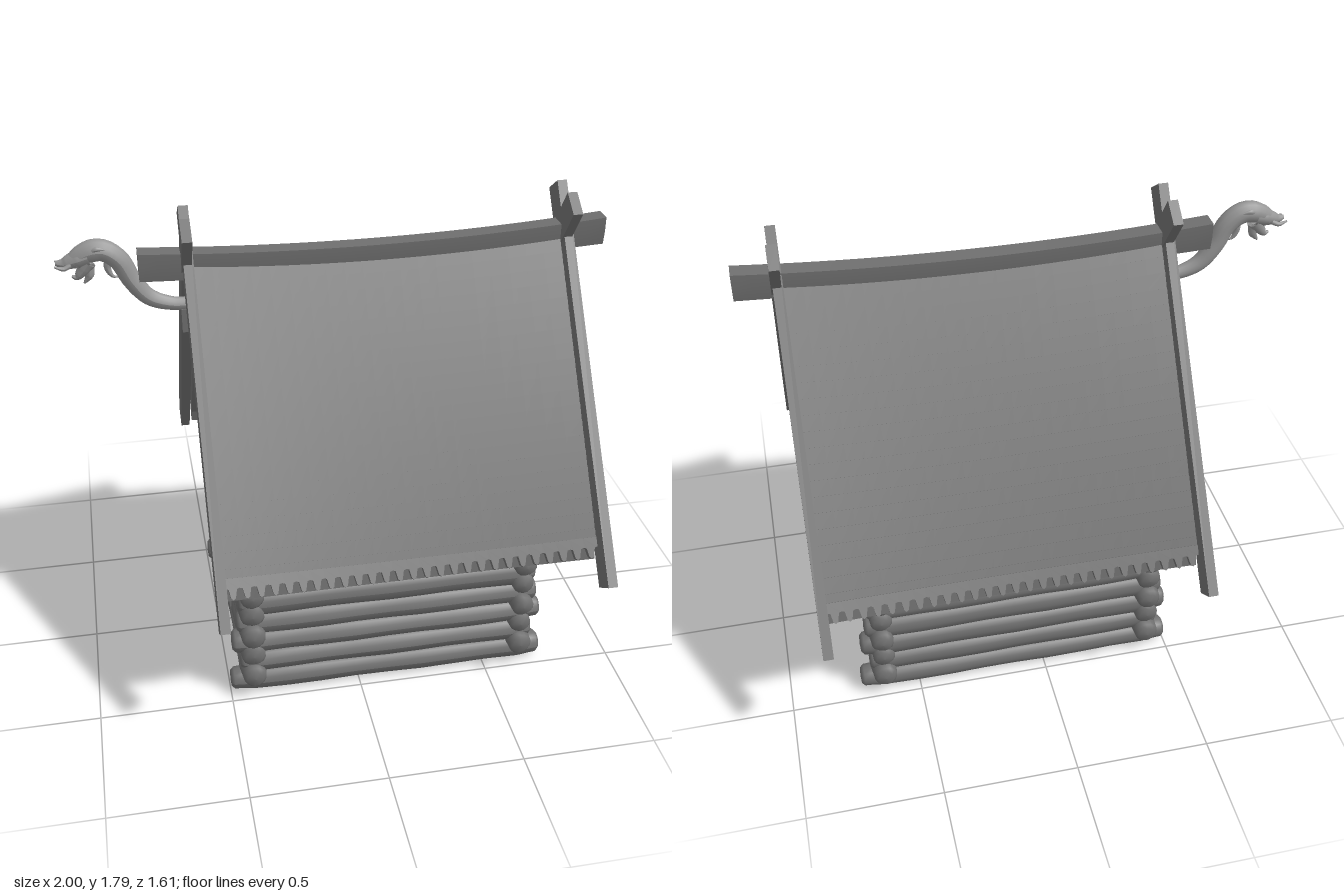
import * as THREE from 'three';

const MID = 0.155; // x of the house's middle
const HALF = 0.675; // half length of the roof
const wood = new THREE.MeshStandardMaterial({ color: 0x6f6f6f, side: THREE.DoubleSide });
const paleWood = new THREE.MeshStandardMaterial({ color: 0x959595, side: THREE.DoubleSide });

function add(parent, name, geometry, x = 0, y = 0, z = 0, material = wood) {
  const mesh = new THREE.Mesh(geometry, material);
  mesh.name = name;
  mesh.position.set(x, y, z);
  parent.add(mesh);
  return mesh;
}

// Moves every vertex by a rule
function warp(geometry, rule) {
  const p = geometry.attributes.position;
  const v = new THREE.Vector3();
  for (let i = 0; i < p.count; i++) {
    rule(v.fromBufferAttribute(p, i), i);
    p.setXYZ(i, v.x, v.y, v.z);
  }
  geometry.computeVertexNormals();
  return geometry;
}

const sag = (x) => Math.max(0, 1 - ((x - MID) / HALF) ** 2);

// Maps (x, -distance down the slope, height above it) onto the roof, which sags if bent
function onRoof(v, bend = true) {
  const s = -v.y, k = bend ? sag(v.x) : 0;
  const h = v.z + (bend ? 0.02 * (1 - s / 1.2) : 0);
  v.y = 1.62 - s * 0.814 + h * 0.581 - 0.03 * k;
  v.z = s * 0.581 + h * 0.814 - 0.03 * k * Math.max(0, s);
}

function roofBox(parent, name, x, s0, s1, h, width, thick, bend = true, tilt = 0) {
  const g = new THREE.BoxGeometry(width, s1 - s0, thick, bend ? 20 : 1, 1, 1);
  g.rotateX(tilt);
  g.translate(x, -(s0 + s1) / 2, h);
  return add(parent, name, warp(g, (v) => onRoof(v, bend)));
}

// Slightly uneven round log, narrower at its ends, lying along x or z from a to b
let seed = 0;
function log(parent, name, axis, a, b, r, y, across) {
  const n = ++seed, len = b - a, e = r * 0.88;
  const pts = [[0, 0], [e * 0.7, 0.003], [e * 0.96, 0.015], [e, 0.04]];
  for (let i = 0; i < 9; i++) pts.push([r, 0.09 + (len - 0.18) * i / 8]);
  pts.push([e, len - 0.04], [e * 0.96, len - 0.015], [e * 0.7, len - 0.003], [0, len]);
  const g = new THREE.LatheGeometry(pts.map((p) => new THREE.Vector2(...p)), 14);
  warp(g, (v) => {
    const f = 1 + 0.04 * Math.sin(v.y * 13 + n * 2.1) + 0.03 * Math.sin(3 * Math.atan2(v.z, v.x) + n);
    v.x *= f;
    v.z *= f;
  });
  const m = add(parent, name, g);
  if (axis === 'x') { m.rotation.z = -Math.PI / 2; m.position.set(a, y, across); }
  else { m.rotation.x = Math.PI / 2; m.position.set(across, y, a); }
}

function buildWalls(root) {
  const walls = new THREE.Group();
  walls.name = 'logWalls';
  root.add(walls);
  // Long walls
  const halfLengths = [0.615, 0.575, 0.605, 0.585, 0.575, 0.605, 0.58];
  for (const z of [-0.43, 0.43]) {
    halfLengths.forEach((e, i) => {
      log(walls, 'longWallLog', 'x', MID - 0.04 - e, MID - 0.04 + e, 0.052, 0.053 + i * 0.0905, z);
    });
  }
  // End walls, the left one split by the doorway above its lowest log
  for (let i = 0; i < 6; i++) {
    const y = 0.103 + i * 0.0935, e = i % 2 ? 0.5 : 0.515;
    log(walls, 'endWallLog', 'z', -e, e, 0.051, y, 0.635);
    if (i === 0) {
      log(walls, 'doorWallLog', 'z', -e, e, 0.051, y, -0.41);
    } else {
      log(walls, 'doorWallLog', 'z', -e, -0.14, 0.051, y, -0.41);
      log(walls, 'doorWallLog', 'z', 0.09, e, 0.051, y, -0.41);
    }
  }
  for (const x of [-0.41, 0.635]) {
    add(walls, 'tieBeam', new THREE.BoxGeometry(0.075, 0.05, 0.98), x, 0.645, 0);
  }
  // Recessed door
  for (let i = 0; i < 3; i++) {
    add(walls, 'doorPlank', new THREE.BoxGeometry(0.02, 0.48, 0.07), -0.39, 0.385, -0.1 + i * 0.073);
  }
  for (const z of [-0.145, 0.095]) {
    add(walls, 'doorPost', new THREE.BoxGeometry(0.1, 0.48, 0.025), -0.41, 0.385, z);
  }
}

function buildGables(root) {
  const top = (z) => Math.min(1.44, 1.53 - 1.42 * Math.abs(z));
  const cuts = [-0.4, -0.27, -0.16, -0.045, 0.05, 0.16, 0.28, 0.4];
  for (const x of [-0.41, 0.62]) {
    // Upright planks cut to the slope
    for (let i = 0; i < cuts.length - 1; i++) {
      const a = cuts[i], b = cuts[i + 1] - 0.003;
      const shape = new THREE.Shape([[a, 0.63], [b, 0.63], [b, top(b)], [a, top(a)]].map((p) => new THREE.Vector2(...p)));
      const g = new THREE.ExtrudeGeometry(shape, { depth: 0.024, bevelEnabled: false });
      g.translate(0, 0, -0.012);
      g.rotateY(Math.PI / 2);
      add(root, 'gablePlank', g, x);
    }
    const out = x > 0 ? 0.02 : -0.02;
    for (const z of [-0.4, 0.42]) {
      add(root, 'cornerPost', new THREE.CylinderGeometry(0.025, 0.028, 0.32, 10), x + out, 0.765, z);
    }
  }
  // Low plank walls under the eaves
  for (const z of [-0.415, 0.415]) {
    for (let i = 0; i < 4; i++) {
      add(root, 'sidePlank', new THREE.BoxGeometry(0.253, 0.3, 0.02), -0.276 + i * 0.256, 0.77, z);
    }
  }
}

function buildRoofSide() {
  const side = new THREE.Group();
  side.name = 'roofSide';
  roofBox(side, 'roofBase', MID, 0.03, 1.155, -0.03, 1.34, 0.036);
  // Overlapping courses
  const courses = 20, step = 1.135 / courses;
  for (let i = 0; i < courses; i++) {
    const s = 0.02 + i * step;
    roofBox(side, 'roofCourse', MID, s, s + step + 0.004, -0.011, 1.35, 0.014, true, 0.05);
  }
  // Rounded teeth along the eave
  const teeth = 27, w = 1.35 / teeth;
  const outline = [[0, 1.13], [0, 1.165], [0.2, 1.168], [0.34, 1.2], [0.5, 1.206], [0.66, 1.2], [0.8, 1.168], [1, 1.165], [1, 1.13]];
  for (let i = 0; i < teeth; i++) {
    const x = MID - HALF + i * w;
    const shape = new THREE.Shape(outline.map(([u, d]) => new THREE.Vector2(x + u * w, -d)));
    const g = new THREE.ExtrudeGeometry(shape, { depth: 0.022, bevelEnabled: false });
    g.translate(0, 0, -0.021);
    add(side, 'eaveTooth', warp(g, (v) => onRoof(v)));
  }
  // Leaning board beneath the eave
  const board = new THREE.BoxGeometry(1.35, 0.085, 0.035, 20, 1, 1);
  board.rotateX(-0.2);
  board.translate(MID, 0.645, 0.638);
  add(side, 'eaveBoard', warp(board, (v) => {
    v.z -= 0.03 * sag(v.x);
    v.y -= 0.02 * sag(v.x);
  }));
  // Rafters and crossing gable boards
  for (const x of [-0.485, 0.8]) roofBox(side, 'rafter', x, 0.09, 1.12, -0.055, 0.06, 0.045, false);
  for (const x of [-0.537, 0.853]) roofBox(side, 'gableBoard', x, -0.178, 1.316, 0, 0.036, 0.096, false);
  return side;
}

function buildRoof(root) {
  const front = buildRoofSide();
  const back = front.clone();
  back.rotation.y = Math.PI;
  back.position.x = MID * 2;
  root.add(front, back);
  // Ridge beam, sagging and a little deeper at its ends
  const ridge = new THREE.BoxGeometry(1.71, 0.1, 0.068, 24, 2, 1);
  ridge.translate(0.145, 0, 0);
  warp(ridge, (v) => {
    const d = Math.abs(v.x - MID);
    if (v.y < -0.01) v.z *= 0.75;
    v.y = v.y * (0.92 + 0.2 * d * d) + 1.585 + 0.038 * d * d + v.x * 0.008;
  });
  add(root, 'ridgeBeam', ridge);
  add(root, 'collarBeam', new THREE.BoxGeometry(1.4, 0.09, 0.042), 0.13, 1.388, 0);
}

// Carved beast head on a curling neck
function buildFigurehead(root) {
  const head = new THREE.Group();
  head.name = 'carvedFigurehead';
  root.add(head);
  const horn = (name, points, radii, squash = 1) => {
    const curve = new THREE.CatmullRomCurve3(points.map((p) => new THREE.Vector3(...p)));
    const n = 28, sides = 12;
    const g = new THREE.TubeGeometry(curve, n, 1, sides);
    warp(g, (v, i) => {
      const t = Math.floor(i / (sides + 1)) / n, f = t * (radii.length - 1);
      const k = Math.min(Math.floor(f), radii.length - 2);
      const c = curve.getPointAt(t);
      v.sub(c).multiplyScalar(THREE.MathUtils.lerp(radii[k], radii[k + 1], f - k));
      v.z *= squash;
      v.add(c);
    });
    add(head, name, g, 0, 0, 0, paleWood);
  };
  horn('neck', [[-0.52, 1.45, 0], [-0.6, 1.453, 0], [-0.68, 1.485, 0], [-0.735, 1.555, 0], [-0.775, 1.635, 0], [-0.83, 1.675, 0], [-0.89, 1.668, 0], [-0.93, 1.64, 0]],
    [0.023, 0.025, 0.03, 0.034, 0.036, 0.039, 0.041, 0.032], 0.9);
  horn('upperJaw', [[-0.88, 1.66, 0], [-0.93, 1.645, 0], [-0.965, 1.635, 0], [-0.992, 1.638, 0]], [0.036, 0.033, 0.024, 0.008]);
  horn('lowerJaw', [[-0.88, 1.635, 0], [-0.905, 1.6, 0], [-0.925, 1.58, 0], [-0.94, 1.585, 0]], [0.03, 0.024, 0.016, 0.004]);
  horn('beard', [[-0.88, 1.62, 0], [-0.88, 1.585, 0], [-0.9, 1.555, 0]], [0.022, 0.016, 0.003], 0.8);
  horn('mane', [[-0.8, 1.65, 0], [-0.815, 1.61, 0], [-0.8, 1.575, 0], [-0.78, 1.57, 0]], [0.018, 0.014, 0.009, 0.002], 0.8);
  for (const z of [-1, 1]) {
    horn('ear', [[-0.87, 1.68, z * 0.02], [-0.85, 1.69, z * 0.029], [-0.82, 1.688, z * 0.033]], [0.012, 0.009, 0.002]);
    horn('fang', [[-0.94, 1.635, z * 0.02], [-0.965, 1.625, z * 0.026], [-0.996, 1.635, z * 0.027]], [0.01, 0.008, 0.003]);
  }
}

export function createModel() {
  const root = new THREE.Group();
  root.name = 'logHouse';
  buildWalls(root);
  buildGables(root);
  buildRoof(root);
  buildFigurehead(root);
  return root;
}
